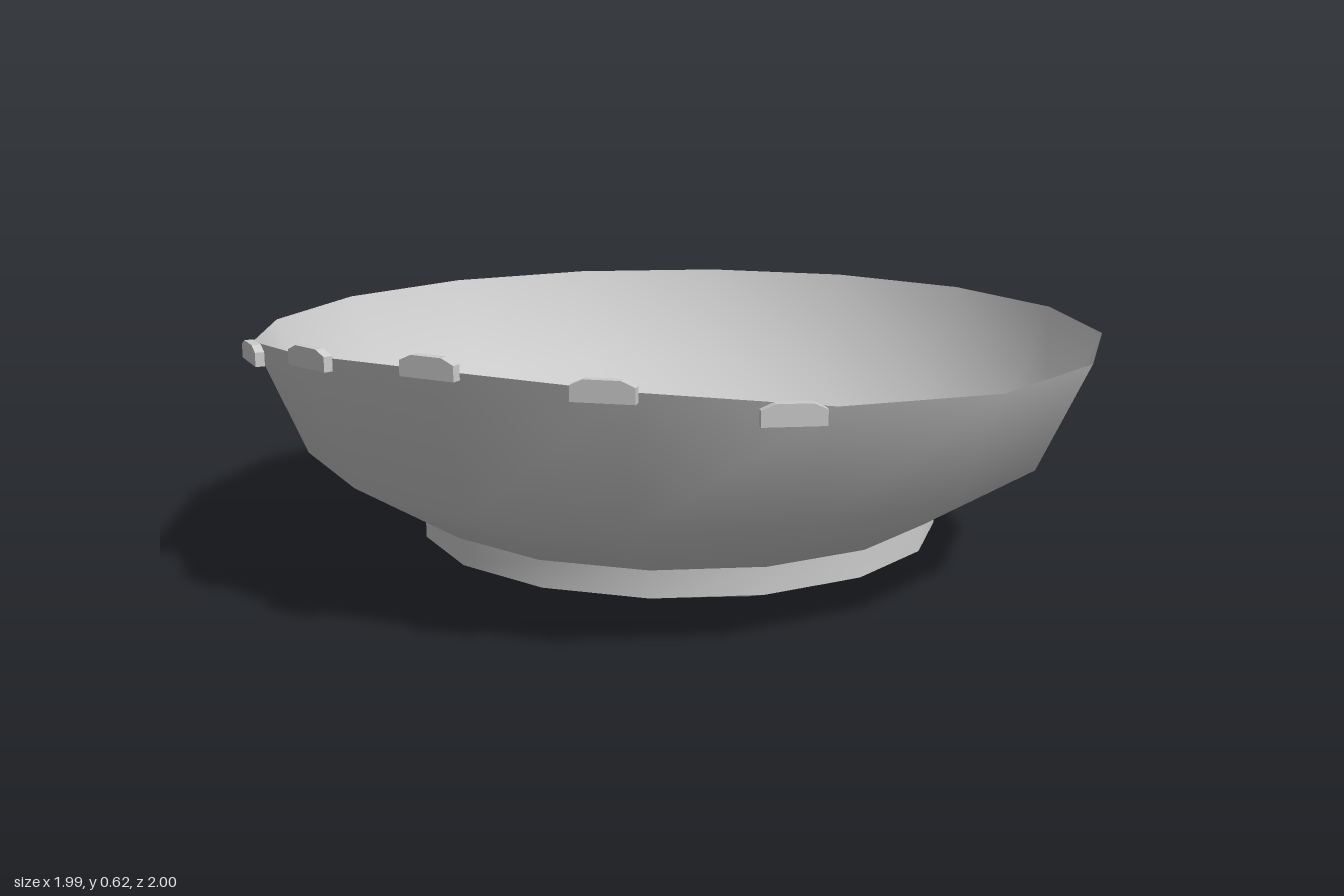
import * as THREE from 'three';
import { toCreasedNormals } from 'three/addons/utils/BufferGeometryUtils.js';

const SIDES = 16;
const material = new THREE.MeshStandardMaterial({ color: 0xcccccc, side: THREE.DoubleSide });

// A ring of corners; the angle starts at the front (+z).
function ring(pointAt) {
  return Array.from({ length: SIDES }, (_, i) => pointAt((i / SIDES) * Math.PI * 2));
}

const circle = (r, y) => ring(a => [r * Math.sin(a), y, r * Math.cos(a)]);

// Rim rises gently towards the front.
const rimHeight = a => {
  const step = Math.min(a, Math.PI * 2 - a) / (Math.PI / 8);
  return [0.59, 0.572, 0.537][Math.round(step)] ?? 0.522;
};

// Floor outline: nearly full size at the back, drawn in at the front and sides.
const floorRing = ring(a => {
  const s = Math.sin(a), c = Math.cos(a);
  return c < 0
    ? [Math.sign(s) * Math.min(0.5, Math.abs(s) * 0.595), 0, c * 0.593]
    : [s * 0.5, 0, c * 0.46];
});

// Skin stacked rings from bottom to top and close the floor.
function bowlGeometry(rings) {
  const positions = rings.flat(2);
  const index = [];
  for (let k = 0; k < rings.length - 1; k++) {
    for (let i = 0; i < SIDES; i++) {
      const j = (i + 1) % SIDES;
      const a = k * SIDES + i, b = k * SIDES + j;
      index.push(a, b, b + SIDES, a, b + SIDES, a + SIDES);
    }
  }
  const centre = positions.length / 3;
  positions.push(0, 0, 0);
  for (let i = 0; i < SIDES; i++) index.push(centre, (i + 1) % SIDES, i);
  const g = new THREE.BufferGeometry();
  g.setAttribute('position', new THREE.Float32BufferAttribute(positions, 3));
  g.setIndex(index);
  return toCreasedNormals(g, 0.9);
}

// Small stud with a rounded top.
function studGeometry() {
  const s = new THREE.Shape();
  s.moveTo(-0.062, -0.025);
  s.lineTo(0.062, -0.025);
  s.lineTo(0.062, 0.006);
  s.lineTo(0.035, 0.018);
  s.lineTo(-0.035, 0.018);
  s.lineTo(-0.062, 0.006);
  s.closePath();
  return new THREE.ExtrudeGeometry(s, { depth: 0.02, bevelEnabled: false }).translate(0, 0, -0.01);
}

export function createModel() {
  const group = new THREE.Group();
  const add = (name, geometry, x = 0, y = 0, z = 0, turn = 0) => {
    const mesh = new THREE.Mesh(geometry, material);
    mesh.name = name;
    mesh.position.set(x, y, z);
    mesh.rotation.y = turn;
    group.add(mesh);
  };

  // Bowl: floor, foot band, lower slope and upper wall
  add('bowl', bowlGeometry([
    floorRing,
    circle(0.62, 0.052),
    circle(0.62, 0.115),
    circle(0.63, 0.117),
    circle(0.88, 0.275),
    ring(a => [0.993 * Math.sin(a), rimHeight(a), (Math.cos(a) < 0 ? 1 : 0.985) * Math.cos(a)]),
  ]));

  // Studs along the front rim
  const stud = studGeometry();
  add('rimStud', stud, 0, 0.6, 0.99);
  for (const side of [-1, 1]) {
    add('rimStud', stud, side * 0.34, 0.577, 0.927, side * 0.27);
    add('rimStud', stud, side * 0.642, 0.533, 0.762, side * 0.61);
    // Thin rails on the floor
    add('floorRail', new THREE.BoxGeometry(0.02, 0.04, 0.31), side * 0.088, 0.021, 0.205);
  }
  return group;
}
